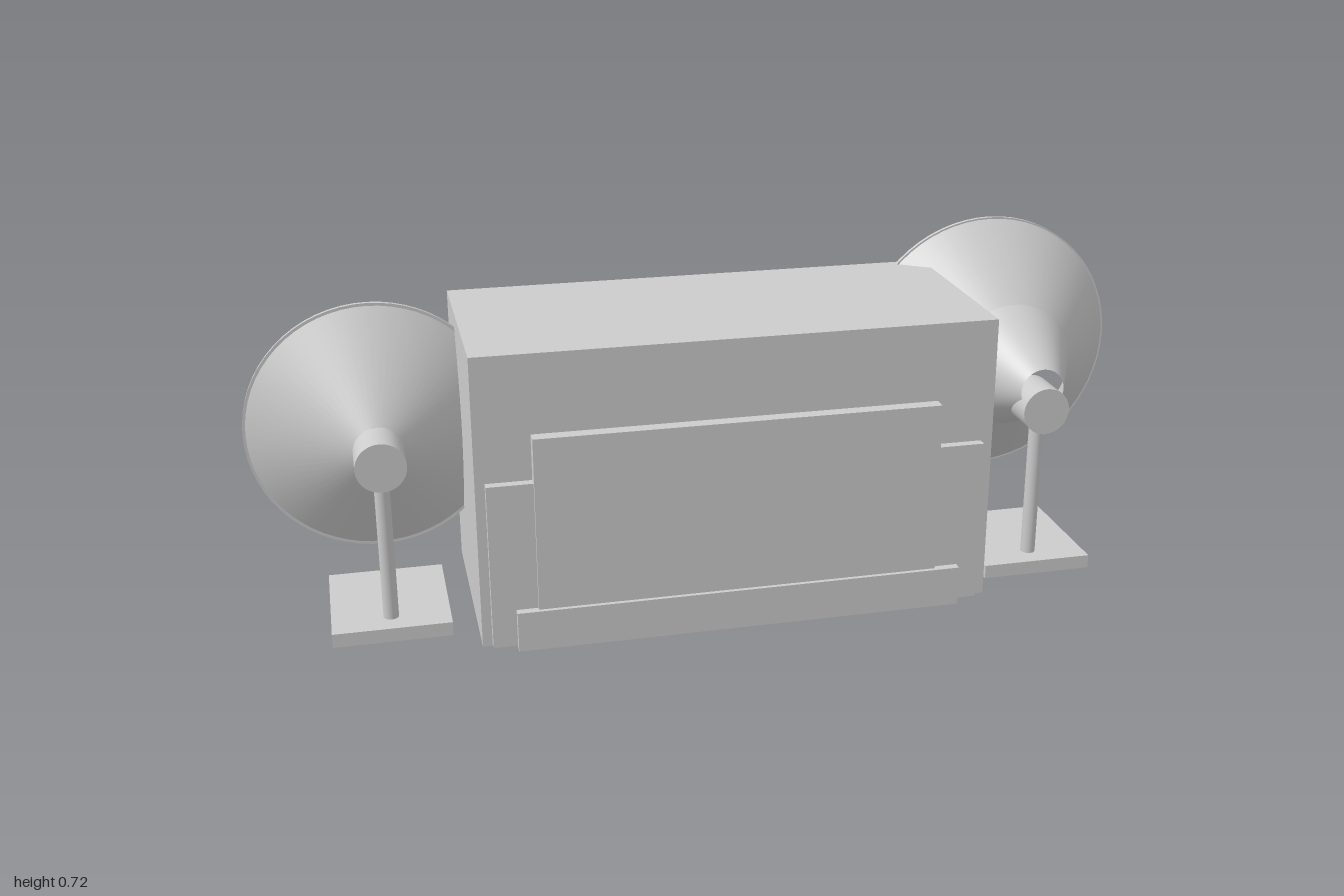
import * as THREE from 'three';

const grey = new THREE.MeshStandardMaterial({ color: 0xcccccc });
const thin = new THREE.MeshStandardMaterial({ color: 0xcccccc, side: THREE.DoubleSide });

export function createModel() {
  const model = new THREE.Group();

  function add(parent, name, geometry, material = grey) {
    const mesh = new THREE.Mesh(geometry, material);
    mesh.name = name;
    parent.add(mesh);
    return mesh;
  }

  // Box given by its extents on each axis
  function box(parent, name, x0, x1, y0, y1, z0, z1) {
    const m = add(parent, name, new THREE.BoxGeometry(x1 - x0, y1 - y0, z1 - z0));
    m.position.set((x0 + x1) / 2, (y0 + y1) / 2, (z0 + z1) / 2);
    return m;
  }

  // Cylinder lying along z
  function rod(parent, name, x, y, z0, z1, r, segments = 32) {
    const g = new THREE.CylinderGeometry(r, r, Math.abs(z1 - z0), segments).rotateX(Math.PI / 2);
    const m = add(parent, name, g);
    m.position.set(x, y, (z0 + z1) / 2);
    return m;
  }

  // Cabinet, with its control face towards -z
  const cabinet = new THREE.Group();
  cabinet.name = 'cabinet';
  model.add(cabinet);
  box(cabinet, 'case', -0.55, 0.54, 0, 0.625, -0.21, 0.262);
  box(cabinet, 'controlFace', -0.54, 0.53, 0.01, 0.615, -0.222, -0.2);

  // Stepped plates on the plain side
  box(cabinet, 'widePlate', -0.53, 0.515, 0.005, 0.36, 0.25, 0.282);
  box(cabinet, 'tallPlate', -0.435, 0.415, 0.005, 0.457, 0.25, 0.291);
  box(cabinet, 'footPlate', -0.48, 0.467, 0, 0.086, 0.25, 0.3);

  // Stepped plates on the control side
  box(cabinet, 'upperPanel', -0.495, 0.485, 0.3, 0.59, -0.233, -0.215);
  box(cabinet, 'widePlate', -0.53, 0.515, 0.005, 0.36, -0.24, -0.215);
  box(cabinet, 'tallPlate', -0.435, 0.42, 0.01, 0.447, -0.25, -0.215);
  box(cabinet, 'footPlate', -0.48, 0.467, 0, 0.086, -0.247, -0.215);

  // Dials, knobs and the small label plate
  const controls = new THREE.Group();
  controls.name = 'controls';
  controls.position.x = -0.005;
  model.add(controls);
  box(controls, 'dialStrip', -0.23, 0.23, 0.22, 0.295, -0.258, -0.248);
  for (const x of [-0.227, 0, 0.227]) {
    rod(controls, 'dial', x, 0.277, -0.274, -0.269, 0.088, 40);
    rod(controls, 'dialShaft', x, 0.277, -0.27, -0.25, 0.037, 24);
  }
  rod(controls, 'centreKnob', 0, 0.12, -0.285, -0.245, 0.04);
  for (const s of [-1, 1]) {
    rod(controls, 'outerKnob', s * 0.36, 0.12, -0.285, -0.245, 0.04);
    rod(controls, 'innerKnob', s * 0.227, 0.12, -0.3, -0.245, 0.04);
    rod(controls, 'smallKnob', s * 0.293, 0.16, -0.268, -0.245, 0.022, 20);
  }
  box(controls, 'labelPlate', 0.075, 0.195, 0.015, 0.045, -0.259, -0.248);

  // Horn loudspeaker on a stand; profile is a list of [radius, z]
  function horn(name, x, y, profile) {
    const speaker = new THREE.Group();
    speaker.name = name;
    model.add(speaker);
    box(speaker, 'base', x - 0.123, x + 0.123, 0, 0.03, -0.088, 0.197);
    const post = add(speaker, 'post', new THREE.CylinderGeometry(0.016, 0.016, 0.33, 24));
    post.position.set(x, 0.195, 0.14);
    rod(speaker, 'driver', x, 0.382, 0.092, 0.188, 0.052);

    // Each straight section is its own cone so the bend stays sharp
    for (let i = 0; i < profile.length - 1; i++) {
      const [r0, z0] = profile[i], [r1, z1] = profile[i + 1];
      const g = new THREE.CylinderGeometry(r0, r1, z0 - z1, 64, 1, true).rotateX(Math.PI / 2);
      add(speaker, 'hornSection', g, thin).position.set(x, y, (z0 + z1) / 2);
    }

    // Flat band around the mouth
    const [r, z] = profile[profile.length - 1];
    const band = [[r - 0.01, 0], [r, 0], [r, 0.009], [r - 0.01, 0.009], [r - 0.01, 0]];
    for (let i = 0; i < 4; i++) {
      const pts = [band[i], band[i + 1]].map(([a, b]) => new THREE.Vector2(a, b));
      const g = new THREE.LatheGeometry(pts, 64).rotateX(Math.PI / 2);
      add(speaker, 'rim', g, thin).position.set(x, y, z - 0.005);
    }
  }

  horn('largeHorn', 0.695, 0.42, [[0.049, 0.16], [0.142, -0.022], [0.303, -0.192]]);
  horn('smallHorn', -0.727, 0.384, [[0.05, 0.092], [0.272, -0.053]]);

  return model;
}
